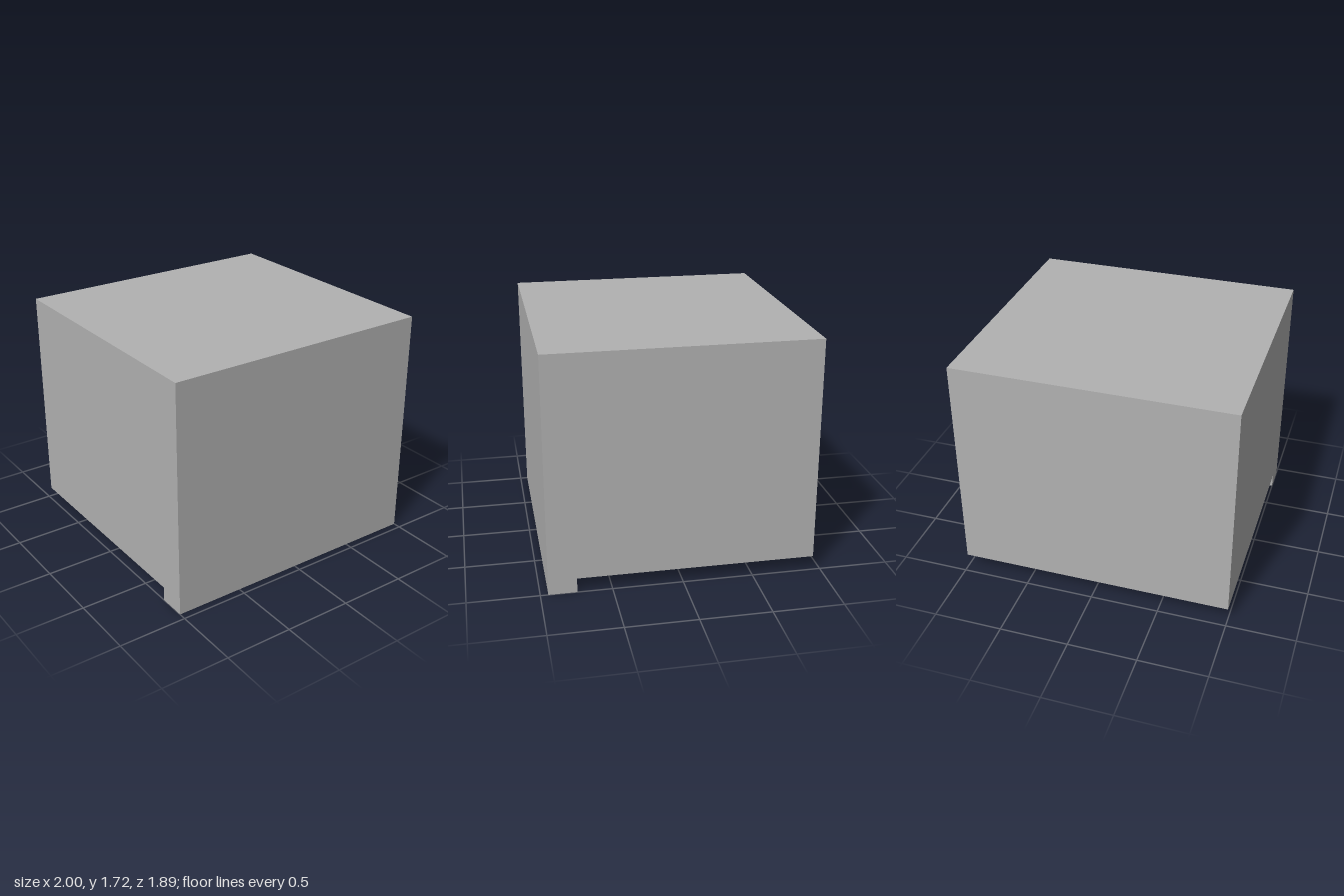
import * as THREE from 'three';
import { toCreasedNormals } from 'three/addons/utils/BufferGeometryUtils.js';

const W = 1;              // half width
const BACK = -0.945, SEAM = 0.745, FRONT = 0.945;
const TOP = 1.715, BODY_BOTTOM = 0.105;

// Rectangle in plan: x across, z along the shape's second axis
function rect(path, x0, x1, z0, z1) {
  path.moveTo(x0, z0);
  path.lineTo(x1, z0);
  path.lineTo(x1, z1);
  path.lineTo(x0, z1);
  path.closePath();
  return path;
}

// Plan outline raised from y0 to y1
function prism(shape, y0, y1) {
  const geo = new THREE.ExtrudeGeometry(shape, { depth: y1 - y0, bevelEnabled: false, curveSegments: 24 });
  geo.rotateX(Math.PI / 2);
  geo.translate(0, y1, 0);
  return toCreasedNormals(geo, Math.PI / 6);
}

export function createModel() {
  const model = new THREE.Group();
  model.name = 'cabinet';
  const grey = new THREE.MeshStandardMaterial({ color: 0xb2b2b2 });
  grey.name = 'plain grey';

  const add = (parent, name, geo) => {
    const mesh = new THREE.Mesh(geo, grey);
    mesh.name = name;
    parent.add(mesh);
  };

  // Hollow body with two compartments open at the bottom
  const body = new THREE.Group();
  body.name = 'body';
  const walls = rect(new THREE.Shape(), -W, W, BACK, SEAM);
  for (const [z0, z1] of [[-0.845, -0.19], [-0.085, 0.645]]) {
    walls.holes.push(rect(new THREE.Path(), -0.9, 0.9, z0, z1));
  }
  add(body, 'walls', prism(walls, BODY_BOTTOM, TOP - 0.1));
  add(body, 'roof', prism(rect(new THREE.Shape(), -W, W, BACK, SEAM), TOP - 0.1, TOP));
  model.add(body);

  // Front panel hanging below the body, with two round sockets underneath
  const panel = new THREE.Group();
  panel.name = 'frontPanel';
  const foot = rect(new THREE.Shape(), -W, W, SEAM, FRONT);
  for (const x of [-0.8, 0.8]) {
    foot.holes.push(new THREE.Path().absarc(x, 0.845, 0.076, 0, Math.PI * 2, true));
  }
  const socketDepth = 0.2;
  add(panel, 'panelFoot', prism(foot, 0, socketDepth));
  add(panel, 'panelFace', prism(rect(new THREE.Shape(), -W, W, SEAM, FRONT), socketDepth, TOP));
  model.add(panel);

  return model;
}
